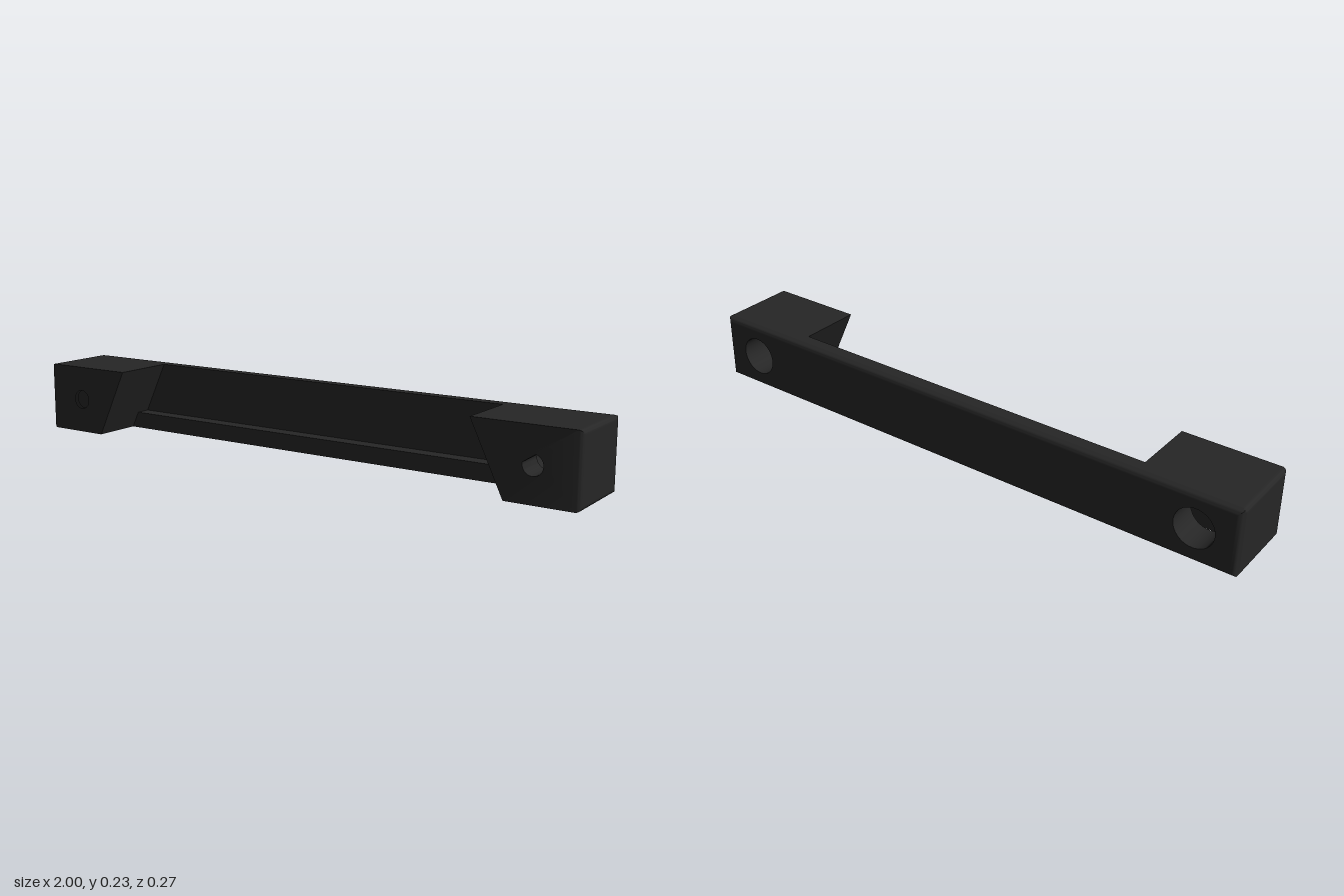
import * as THREE from 'three';
import { mergeGeometries, toCreasedNormals } from 'three/addons/utils/BufferGeometryUtils.js';

const H = 0.23;            // height
const BACK = -0.135, FRONT = 0.135;
const R = 0.015;           // end corner radius
const LEDGE = 0.055;       // height of the ledge in the recess
const HOLE_X = 0.857, BORE = 0.066, SCREW = 0.032;

// inner slanted side of a foot: x at height y
const slant = (y) => 0.77 - 0.11 * y / H;

// walks the rounded end on side s from bottom to top (up = true) or top to bottom
function roundedEnd(shape, s, up) {
  const [y0, y1, d] = up ? [0, H, R] : [H, 0, -R];
  shape.lineTo(s * (1 - R), y0);
  shape.quadraticCurveTo(s, y0, s, y0 + d);
  shape.lineTo(s, y1 - d);
  shape.quadraticCurveTo(s, y1, s * (1 - R), y1);
}

function addHole(shape, x, radius) {
  const hole = new THREE.Path();
  hole.absarc(x, H / 2, radius, 0, Math.PI * 2, true);
  shape.holes.push(hole);
}

// full-length outline, optionally with the recess cut out above the ledge
function barShape(recessed) {
  const s = new THREE.Shape();
  s.moveTo(0, 0);
  roundedEnd(s, 1, true);
  if (recessed) {
    s.lineTo(slant(H), H);
    s.lineTo(slant(LEDGE), LEDGE);
    s.lineTo(-slant(LEDGE), LEDGE);
    s.lineTo(-slant(H), H);
  }
  roundedEnd(s, -1, false);
  for (const side of [-1, 1]) addHole(s, side * HOLE_X, BORE);
  return s;
}

function footShape(side, radius) {
  const s = new THREE.Shape();
  s.moveTo(side * slant(0), 0);
  roundedEnd(s, side, true);
  s.lineTo(side * slant(H), H);
  addHole(s, side * HOLE_X, radius);
  return s;
}

// straight slab between two z planes
function slab(shape, z0, z1, steps = 1) {
  const g = new THREE.ExtrudeGeometry(shape, { depth: z1 - z0, steps, curveSegments: 20, bevelEnabled: false });
  return g.translate(0, 0, z0);
}

// slab from z0 to zEnd whose outer edges round off towards zEnd
function roundedSlab(shape, z0, zEnd, roundY) {
  const g = slab(shape, Math.min(z0, zEnd), Math.max(z0, zEnd), 6);
  const p = g.attributes.position, r = Math.abs(zEnd - z0);
  for (let i = 0; i < p.count; i++) {
    const a = (p.getZ(i) - z0) / (zEnd - z0) * Math.PI / 2;
    const inset = r * (1 - Math.cos(a));
    p.setX(i, THREE.MathUtils.clamp(p.getX(i), -1 + inset, 1 - inset));
    if (roundY) p.setY(i, THREE.MathUtils.clamp(p.getY(i), inset, H - inset));
    p.setZ(i, z0 + (zEnd - z0) * Math.sin(a));
  }
  return g;
}

export function createModel() {
  const group = new THREE.Group();
  const material = new THREE.MeshStandardMaterial({ color: 0x262626 });
  const add = (name, parts) => {
    const mesh = new THREE.Mesh(toCreasedNormals(mergeGeometries(parts), 0.6), material);
    mesh.name = name;
    group.add(mesh);
  };

  // grip bar: rounded back, plain middle, stepped front with the ledge
  const full = barShape(false);
  add('gripBar', [
    roundedSlab(full, BACK + 0.02, BACK, true),
    slab(full, BACK + 0.02, -0.08),
    slab(barShape(true), -0.08, -0.03),
  ]);

  // mounting feet: wide bore behind, narrow screw hole in front
  for (const side of [-1, 1]) {
    const narrow = footShape(side, SCREW);
    add(side > 0 ? 'leftFoot' : 'rightFoot', [
      slab(footShape(side, BORE), -0.03, 0.035),
      slab(narrow, 0.035, FRONT - R),
      roundedSlab(narrow, FRONT - R, FRONT, false),
    ]);
  }
  return group;
}
